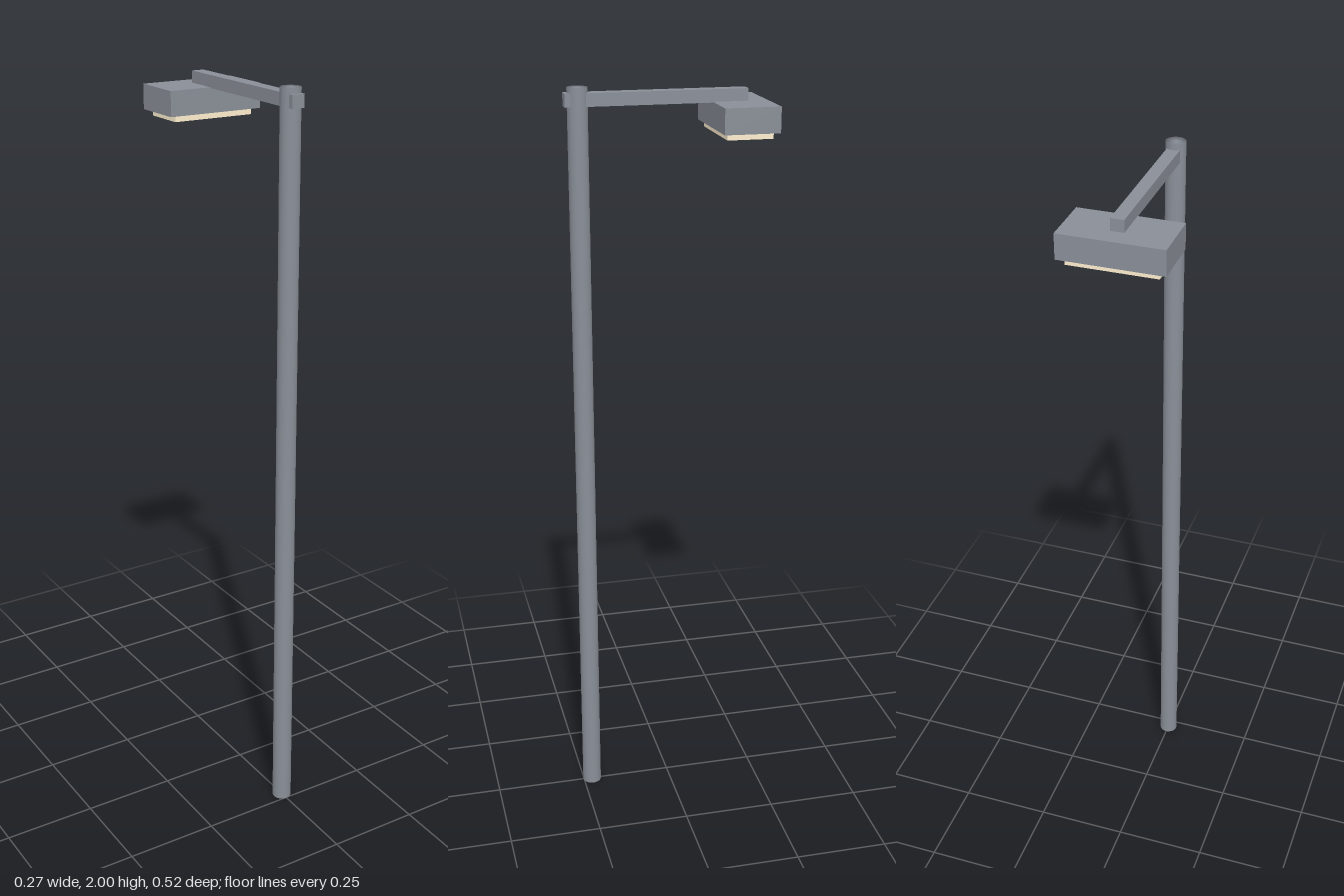
import * as THREE from 'three';
import { mergeVertices } from 'three/addons/utils/BufferGeometryUtils.js';

const metal = new THREE.MeshStandardMaterial({ color: 0x8a8f98 });
const glow = new THREE.MeshStandardMaterial({ color: 0xfff0d0 });

// Box given by its half width and its y and z ranges
function box(name, halfX, y0, y1, z0, z1, material) {
  const mesh = new THREE.Mesh(new THREE.BoxGeometry(halfX * 2, y1 - y0, z1 - z0), material);
  mesh.position.set(0, (y0 + y1) / 2, (z0 + z1) / 2);
  mesh.name = name;
  return mesh;
}

export function createModel() {
  const group = new THREE.Group();
  group.name = 'streetLamp';

  // Pole, with normals smoothed across the cap edges
  let poleGeometry = new THREE.CylinderGeometry(0.026, 0.026, 2, 32);
  poleGeometry.deleteAttribute('normal');
  poleGeometry.deleteAttribute('uv');
  poleGeometry = mergeVertices(poleGeometry);
  poleGeometry.computeVertexNormals();
  const pole = new THREE.Mesh(poleGeometry, metal);
  pole.position.set(0, 1, 0.226);
  pole.name = 'pole';
  group.add(pole);

  // Arm running through the pole and over the lamp head
  group.add(box('arm', 0.017, 1.953, 1.986, -0.208, 0.26, metal));

  // Lamp head with the light panel below it
  group.add(box('lampHead', 0.133, 1.89, 1.955, -0.26, -0.116, metal));
  group.add(box('lightPanel', 0.114, 1.874, 1.892, -0.247, -0.128, glow));

  return group;
}
